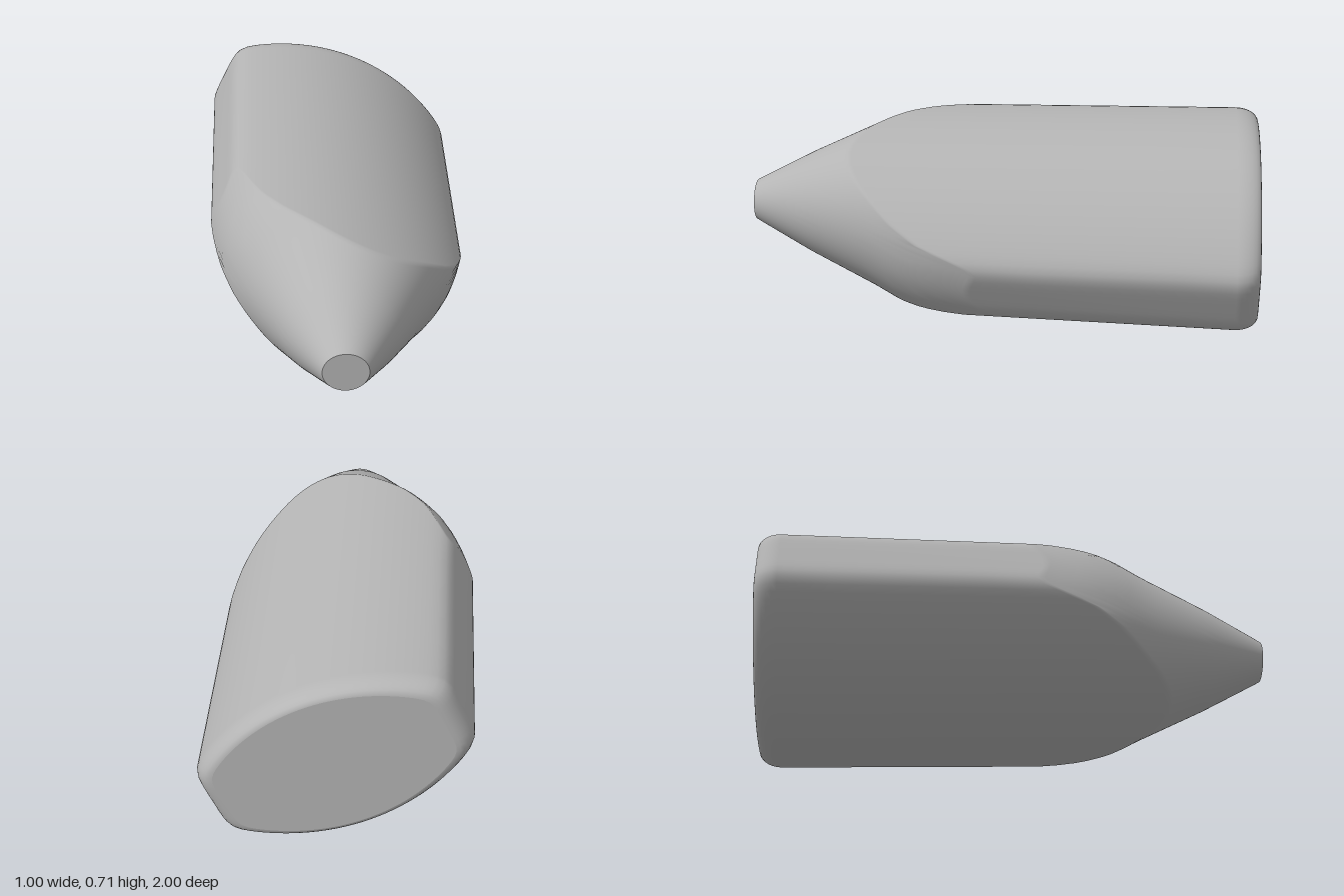
import * as THREE from 'three';

const SEGMENTS = 120;
const COS = 0.903, SIN = -0.43; // tilt of the flattened cross-section
const HALF_WIDTH = 0.505, HALF_HEIGHT = 0.303, ARC_RADIUS = 0.835;

// Front taper: [z, radius], from the body towards the tip
const TAPER = [[-0.4, 0.6], [0, 0.522], [0.1, 0.503], [0.2, 0.482], [0.3, 0.454],
  [0.4, 0.41], [0.5, 0.353], [0.77, 0.216], [0.975, 0.1], [1, 0.085]];

function taperRadius(z) {
  let i = 1;
  while (i < TAPER.length - 1 && z > TAPER[i][0]) i++;
  const [z0, r0] = TAPER[i - 1], [z1, r1] = TAPER[i];
  return r0 + (r1 - r0) * (z - z0) / (z1 - z0);
}

// Cross-section: two flat sides and two shallow arcs, with softened corners
function outlineRadius(angle) {
  const c = Math.abs(Math.cos(angle)), s = Math.abs(Math.sin(angle));
  const drop = ARC_RADIUS - HALF_HEIGHT;
  const arc = -drop * s + Math.sqrt(drop * drop * s * s + ARC_RADIUS ** 2 - drop ** 2);
  const flat = HALF_WIDTH / Math.max(c, 1e-6);
  return arc * (1 + (arc / flat) ** 28) ** (-1 / 28);
}

// Offset of the untapered body from its axis
function bodyOffset(angle, z, su = 1, sv = 1) {
  const r = outlineRadius(angle), t = (z + 1) / 1.5;
  const u = r * Math.cos(angle) * su, v = r * Math.sin(angle) * sv;
  return [(u * COS - v * SIN) * (1 - 0.02 * t), (u * SIN + v * COS) * (1 - 0.075 * t)];
}

// How far the taper pulls a body point inwards (1 = just touching)
function taperRatio([x, y], z) {
  return taperRadius(z) / Math.hypot(x, y / 0.93);
}

// One lengthwise strip of points, from the back edge to the tip edge
function strip(angle) {
  const points = [];
  const add = (z, su, sv) => {
    const p = bodyOffset(angle, z, su, sv);
    const f = Math.min(1, taperRatio(p, z));
    points.push([p[0] * f, 0.35 + 0.0075 * (z + 1) + p[1] * f, z]);
  };
  // rounded back edge
  for (let k = 0; k <= 7; k++) {
    const a = k / 7 * Math.PI / 2, inset = 1 - Math.sin(a);
    add(-1 + 0.09 * (1 - Math.cos(a)), 1 - 0.13 * inset, 1 - 0.12 * inset);
  }
  // where the taper meets the body
  let lo = -0.3, hi = 0.95;
  for (let k = 0; k < 30; k++) {
    const mid = (lo + hi) / 2;
    if (taperRatio(bodyOffset(angle, mid), mid) > 1) lo = mid; else hi = mid;
  }
  for (let k = 1; k <= 5; k++) add(-0.91 + (lo - 0.015 + 0.91) * k / 5);
  add(lo);
  const start = lo + 0.015;
  for (let k = 0; k <= 16; k++) add(start + (0.975 - start) * k / 16);
  add(1);
  return points;
}

function geometryFrom(positions, index) {
  const g = new THREE.BufferGeometry();
  g.setAttribute('position', new THREE.Float32BufferAttribute(positions, 3));
  g.setIndex(index);
  g.computeVertexNormals();
  return g;
}

// Flat end closing a ring of points
function capGeometry(ring, facesFront) {
  const centre = [0, 0, 0];
  ring.forEach(p => p.forEach((value, k) => { centre[k] += value / ring.length; }));
  const index = [];
  for (let i = 0; i < ring.length; i++) {
    const a = i + 1, b = (i + 1) % ring.length + 1;
    index.push(0, ...(facesFront ? [a, b] : [b, a]));
  }
  return geometryFrom([centre, ...ring].flat(), index);
}

export function createModel() {
  const group = new THREE.Group();
  const grey = new THREE.MeshStandardMaterial({ color: 0xb4b4b4 });
  grey.name = 'grey';

  const strips = [];
  for (let i = 0; i < SEGMENTS; i++) strips.push(strip(i / SEGMENTS * Math.PI * 2));
  const rows = strips[0].length;

  // Skin of the body and its tapered nose
  const index = [];
  for (let i = 0; i < SEGMENTS; i++) {
    const j = (i + 1) % SEGMENTS;
    for (let k = 0; k < rows - 1; k++) {
      const a = i * rows + k, b = j * rows + k;
      index.push(a, b, b + 1, a, b + 1, a + 1);
    }
  }

  const parts = {
    taperedBody: geometryFrom(strips.flat(2), index),
    backFace: capGeometry(strips.map(s => s[0]), false),
    tipFace: capGeometry(strips.map(s => s[rows - 1]), true),
  };
  for (const [name, geometry] of Object.entries(parts)) {
    const mesh = new THREE.Mesh(geometry, grey);
    mesh.name = name;
    group.add(mesh);
  }
  return group;
}
